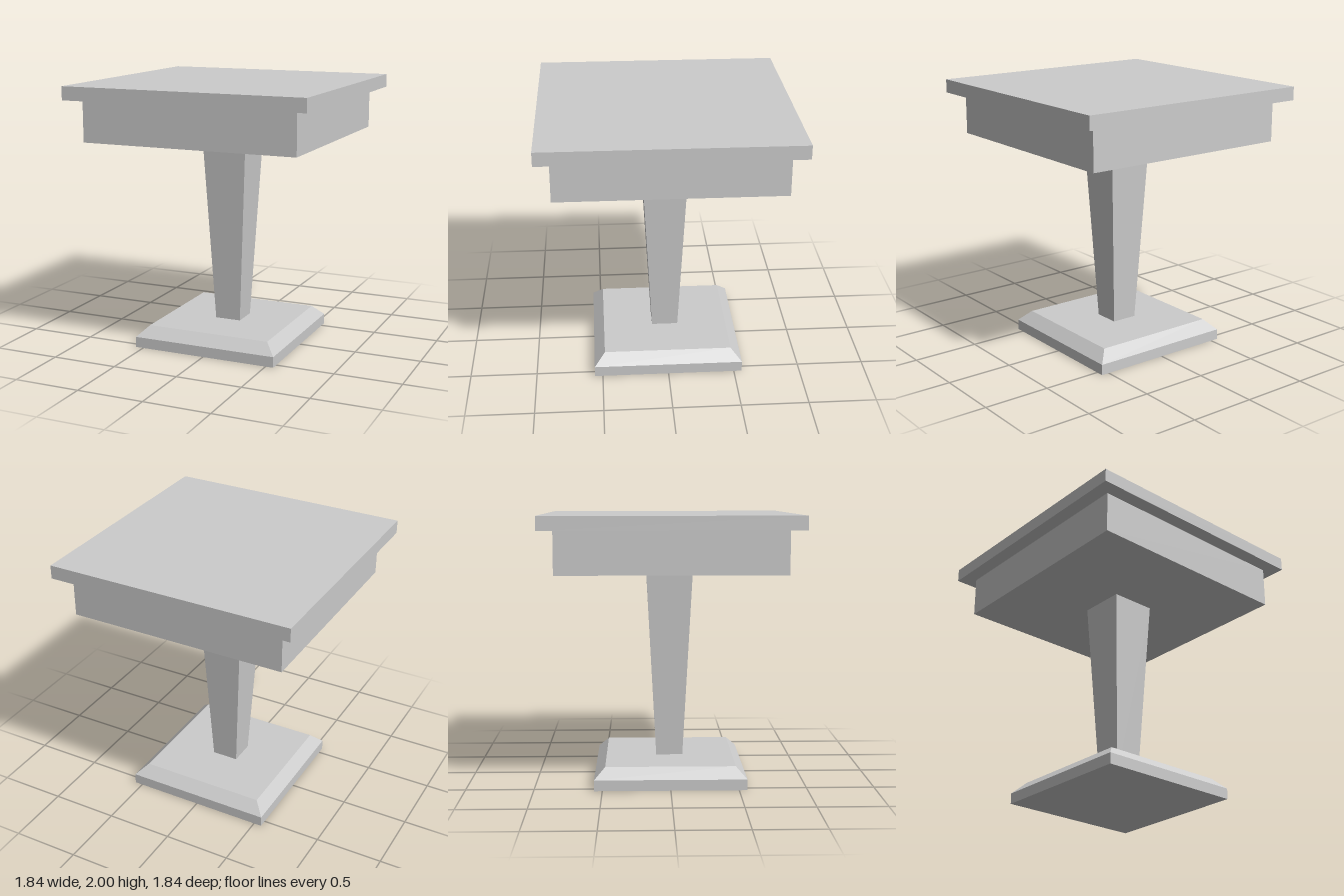
import * as THREE from 'three';

const material = new THREE.MeshStandardMaterial({ color: 0xcccccc, flatShading: true });

// Square block from y0 to y1, tapering from half-width h0 (bottom) to h1 (top)
function block(name, y0, y1, h0, h1 = h0) {
  const geometry = new THREE.BoxGeometry(2, y1 - y0, 2);
  const p = geometry.attributes.position;
  for (let i = 0; i < p.count; i++) {
    const h = p.getY(i) > 0 ? h1 : h0;
    p.setX(i, p.getX(i) * h);
    p.setZ(i, p.getZ(i) * h);
  }
  geometry.computeVertexNormals();
  const mesh = new THREE.Mesh(geometry, material);
  mesh.name = name;
  mesh.position.y = (y0 + y1) / 2;
  return mesh;
}

export function createModel() {
  const table = new THREE.Group();
  table.name = 'pedestalTable';

  // Foot: square plinth with a chamfered upper edge
  const foot = new THREE.Group();
  foot.name = 'foot';
  foot.add(block('plinth', 0, 0.08, 0.56), block('chamfer', 0.08, 0.16, 0.56, 0.48));

  table.add(
    foot,
    block('column', 0.16, 1.59, 0.1, 0.175), // widens upwards
    block('apron', 1.59, 1.9, 0.815),
    block('tableTop', 1.9, 2, 0.92)
  );
  return table;
}
